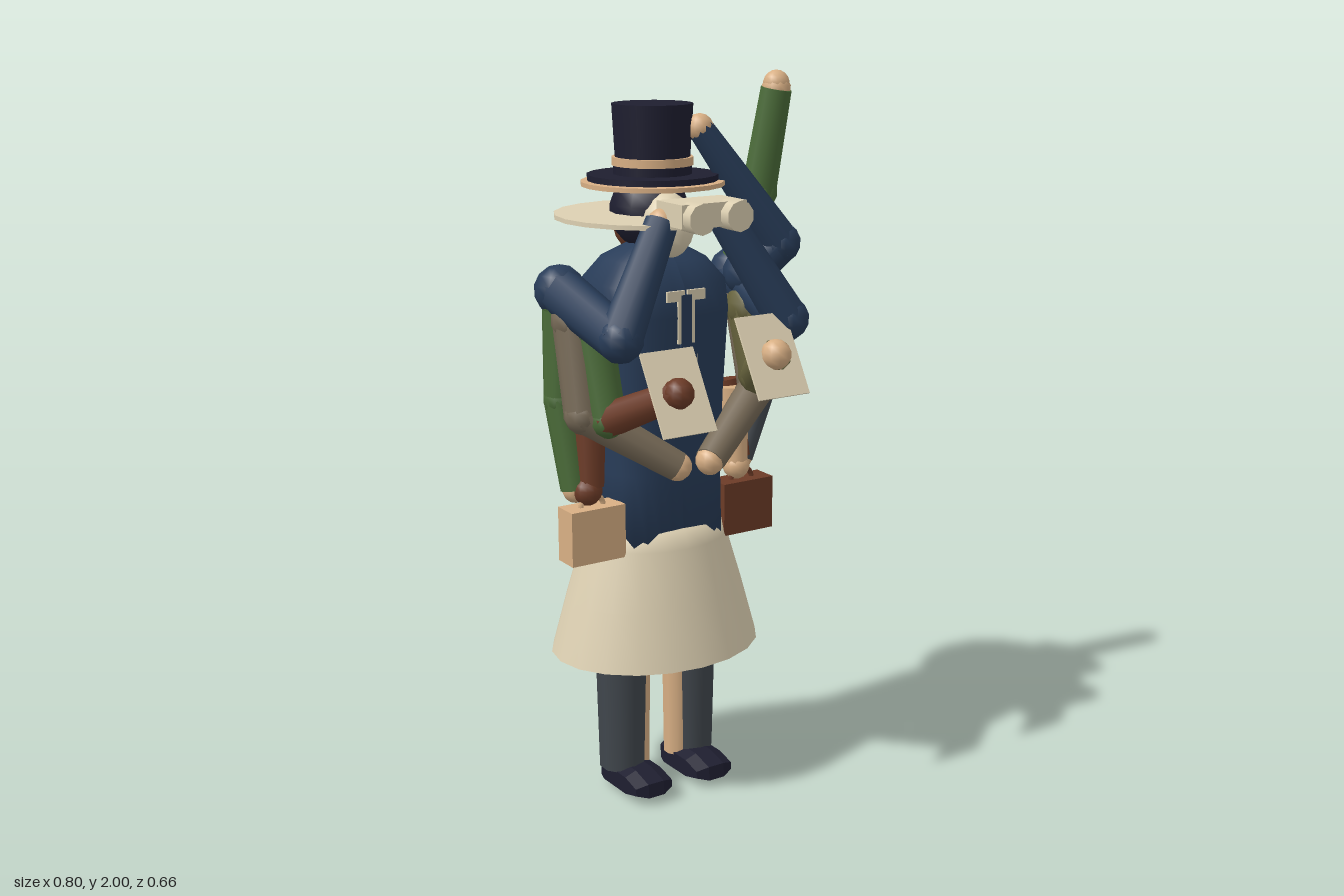
import * as THREE from 'three';

const CX = -0.06, CZ = -0.067; // body axis
const mat = (name, color, o = {}) => {
  const m = new THREE.MeshStandardMaterial({ color, ...o });
  m.name = name;
  return m;
};
const shape = pts => new THREE.Shape(pts.map(p => new THREE.Vector2(...p)));

export function createModel() {
  const g = new THREE.Group();
  g.name = 'manyArmedTraveller';
  const navy = mat('navy cloth', 0x283c58), black = mat('black cloth', 0x1e1e30);
  const grey = mat('grey trousers', 0x41474d), green = mat('green cloth', 0x4a6b38);
  const cream = mat('cream', 0xddd0b2, { side: THREE.DoubleSide });
  const tan = mat('light skin', 0xd8af84), brown = mat('brown', 0x6c3b27);
  const olive = mat('olive cloth', 0x66623c), taupe = mat('taupe cloth', 0x776a57);

  const add = (name, geo, m, x = 0, y = 0, z = 0, parent = g) => {
    const mesh = new THREE.Mesh(geo, m);
    mesh.name = name;
    mesh.position.set(x, y, z);
    parent.add(mesh);
    return mesh;
  };
  const box = (name, w, h, d, m, x, y, z) => add(name, new THREE.BoxGeometry(w, h, d), m, x, y, z);
  const ball = (name, r, m, x, y, z, sx = 1, sy = 1, sz = 1) =>
    add(name, new THREE.SphereGeometry(r, 12, 9), m, x, y, z).scale.set(sx, sy, sz);
  const disc = (name, r, h, m, y, r2 = r) => add(name, new THREE.CylinderGeometry(r2, r, h, 20), m, CX, y, CZ);
  const lathe = (pts, segs) => new THREE.LatheGeometry(pts.map(p => new THREE.Vector2(...p)), segs);
  // tapered cylinder between two points
  const rod = (name, a, b, ra, rb, m, parent = g) => {
    const A = new THREE.Vector3(...a), B = new THREE.Vector3(...b), d = B.clone().sub(A);
    const c = add(name, new THREE.CylinderGeometry(rb, ra, d.length(), 10), m, 0, 0, 0, parent);
    c.position.copy(A).add(B).multiplyScalar(0.5);
    c.quaternion.setFromUnitVectors(new THREE.Vector3(0, 1, 0), d.normalize());
  };
  // shoulder, elbow and hand with sleeves between them
  const arm = (name, s, e, h, upper, lower, skin, { r = 0.05, wrist = r * 0.8, hand = 0.037 } = {}) => {
    const a = new THREE.Group();
    a.name = name;
    g.add(a);
    const joint = (n, rad, p, m) => add(n, new THREE.SphereGeometry(rad, 10, 7), m, ...p, a);
    joint('shoulder', r * 1.2, s, upper);
    rod('upperSleeve', s, e, r * 1.12, r, upper, a);
    joint('elbow', r * 1.04, e, upper);
    rod('foreSleeve', e, h, r, wrist, lower, a);
    joint('hand', hand, h, skin);
  };
  const mir = ([x, y, z]) => [2 * CX - x, y, z];

  // legs and shoes
  for (const s of [-1, 1]) {
    const x = CX + s * 0.115;
    rod('trouserLeg', [x, 0.065, -0.06], [x, 0.5, -0.06], 0.066, 0.076, grey);
    rod('innerLeg', [x - s * 0.042, 0.06, -0.06], [x - s * 0.042, 0.5, -0.06], 0.042, 0.048, tan);
    const sole = shape([[-0.105, 0.025], [-0.09, 0.014], [0.03, 0.018], [0.09, 0.035], [0.088, 0.055], [0.03, 0.068], [-0.105, 0.065]]);
    const shoe = new THREE.ExtrudeGeometry(sole, { depth: 0.05, bevelEnabled: true, bevelSize: 0.013, bevelThickness: 0.034, bevelSegments: 1 });
    shoe.translate(0, 0, -0.025);
    add('shoe', shoe, black, x - s * 0.014, 0, 0).rotation.y = -Math.PI / 2;
  }

  // skirt
  add('skirt', lathe([[0.307, 0.42], [0.262, 0.58], [0.213, 0.74], [0.197, 0.79], [0.12, 0.81], [0, 0.815]], 20), cream, CX, 0, -0.065)
    .scale.z = 0.81;

  // coat: a lathe pushed out to a rounded box section
  const coat = lathe([[0, 0.748], [0.172, 0.75], [0.168, 0.95], [0.174, 1.15], [0.186, 1.38], [0.178, 1.46], [0.13, 1.52], [0.06, 1.56], [0, 1.56]], 32);
  const p = coat.attributes.position;
  for (let i = 0; i < p.count; i++) {
    const x = p.getX(i), z = p.getZ(i), r = Math.hypot(x, z);
    if (r < 1e-6) continue;
    const k = (Math.abs(x / r) ** 3.5 + Math.abs(z / r) ** 3.5) ** (-1 / 3.5);
    p.setX(i, x * k);
    p.setZ(i, z * k * 0.88);
  }
  coat.computeVertexNormals();
  add('coat', coat, navy, CX, 0, CZ);

  // collar, tie and vest opening
  for (const s of [-1, 1]) {
    box('collarWing', 0.055, 0.028, 0.008, cream, CX + s * 0.032, 1.438, 0.096);
    box('tieEdge', 0.009, 0.13, 0.008, cream, CX + s * 0.021, 1.375, 0.096);
    const v = shape([[0, 1.11], [s * 0.02, 1.12], [s * 0.037, 1.28], [0, 1.18]]);
    add('vestOpening', new THREE.ShapeGeometry(v), cream, CX, 0, 0.098);
  }
  box('tie', 0.033, 0.14, 0.009, navy, CX, 1.37, 0.096);

  // head and stacked hats
  rod('neck', [CX, 1.5, CZ], [CX, 1.6, CZ], 0.06, 0.06, brown);
  ball('hair', 0.105, black, CX, 1.64, -0.085, 1, 1, 1.08);
  ball('backFace', 0.065, brown, CX, 1.6, -0.15, 1, 1.2, 1);
  ball('face', 0.085, cream, CX, 1.61, 0.0, 0.85, 1.05, 1);
  disc('wideBrim', 0.265, 0.012, cream, 1.632);
  disc('tanBrim', 0.192, 0.012, tan, 1.716);
  disc('darkBrim', 0.175, 0.016, black, 1.732);
  disc('lowerCrown', 0.105, 0.03, black, 1.75);
  disc('hatBand', 0.109, 0.022, tan, 1.774);
  disc('crown', 0.1, 0.14, black, 1.853, 0.108);

  // binoculars
  box('binocularBody', 0.197, 0.06, 0.12, cream, CX, 1.665, 0.17);
  for (const s of [-1, 1]) {
    rod('lensBarrel', [CX + s * 0.057, 1.66, 0.2], [CX + s * 0.057, 1.66, 0.264], 0.04, 0.04, cream);
  }

  // arms holding the binoculars
  const bs = [0.215, 1.45, -0.085], be = [0.197, 1.365, 0.192], bh = [0.035, 1.64, 0.13];
  const viewing = { r: 0.058, wrist: 0.044, hand: 0.037 };
  arm('leftViewingArm', bs, be, bh, navy, navy, tan, viewing);
  arm('rightViewingArm', mir(bs), mir(be), mir(bh), navy, navy, tan, viewing);

  // raised arms
  arm('hatTouchingArm', [0.2, 1.46, 0], [0.265, 1.545, 0.06], [0.045, 1.86, 0.0], navy, navy, tan, { r: 0.056, wrist: 0.035 });
  arm('raisedGreenArm', [0.22, 1.46, -0.07], [0.268, 1.67, -0.045], [0.3, 1.95, -0.013], green, green, tan, { r: 0.05, wrist: 0.044, hand: 0.04 });
  ball('raisedHandTip', 0.036, tan, 0.3, 1.964, -0.013);

  // hanging outer arms
  arm('leftHangingArm', [0.24, 1.39, -0.075], [0.337, 1.2, -0.09], [0.215, 0.92, -0.05], black, grey, tan, { r: 0.059, wrist: 0.04 });
  arm('rightHangingArm', [-0.33, 1.42, -0.08], [-0.34, 1.16, -0.075], [-0.33, 0.92, -0.03], green, green, tan, { r: 0.05 });

  // hanging inner forearms
  rod('leftInnerForearm', [0.17, 1.14, -0.02], [0.17, 0.92, 0], 0.045, 0.034, tan);
  ball('leftInnerHand', 0.038, tan, 0.17, 0.915, 0);
  rod('leftRearForearm', [0.18, 1.15, -0.07], [0.2, 0.93, -0.03], 0.04, 0.032, brown);
  rod('rightInnerForearm', [-0.29, 1.14, -0.02], [-0.3, 0.93, 0], 0.045, 0.036, brown);
  ball('rightInnerHand', 0.04, brown, -0.31, 0.92, 0);

  // arms folded towards the waist
  const fs = [0.21, 1.38, -0.02], fe = [0.215, 1.14, 0.03], fh = [-0.008, 0.99, 0.135];
  const folded = { r: 0.052, wrist: 0.042, hand: 0.04 };
  arm('leftFoldedArm', fs, fe, fh, taupe, taupe, tan, folded);
  arm('rightFoldedArm', mir(fs), mir(fe), mir(fh), taupe, taupe, tan, folded);

  // arms showing the cards
  arm('leftCardArm', [0.2, 1.37, 0.02], [0.2, 1.19, 0.07], [0.1, 1.295, 0.28], olive, olive, tan, { r: 0.06, wrist: 0.042, hand: 0.041 });
  arm('rightCardArm', [-0.3, 1.36, 0.02], [-0.29, 1.13, 0.08], [-0.2, 1.23, 0.28], green, brown, brown, { r: 0.048, hand: 0.041 });
  for (const [x, y] of [[0.095, 1.29], [-0.195, 1.23]]) {
    box('card', 0.16, 0.228, 0.006, cream, x, y, 0.27).rotation.x = -0.53;
  }

  // cases with handles
  for (const [x, m] of [[0.182, brown], [-0.302, tan]]) {
    box('case', 0.164, 0.15, 0.076, m, x, 0.805, 0.008);
    add('caseHandle', new THREE.TorusGeometry(0.035, 0.008, 6, 10, Math.PI), m, x, 0.875, 0.008);
  }
  return g;
}
